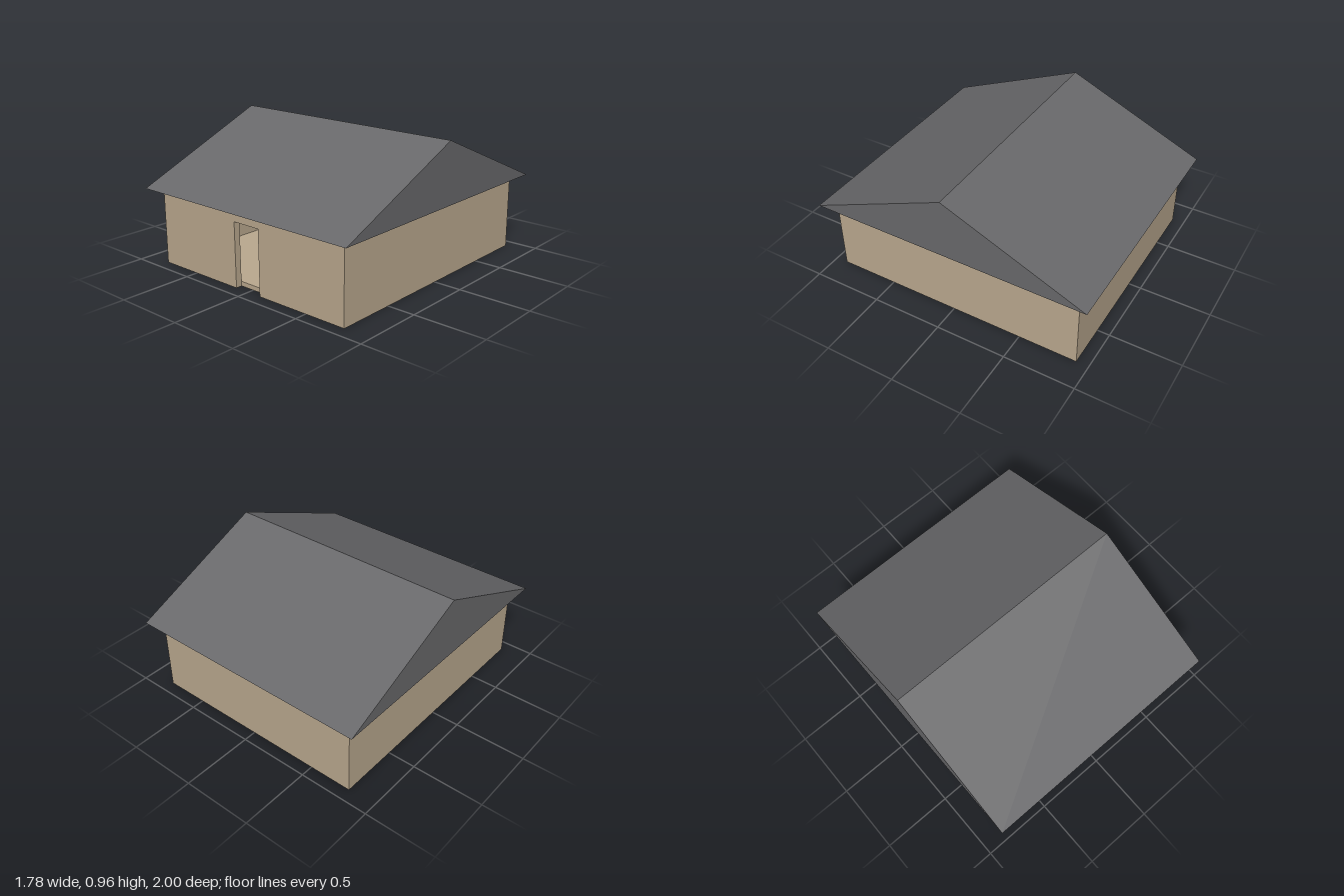
import * as THREE from 'three';

// Main dimensions
const W = 0.805, D = 0.914;          // half width and half depth of the walls
const H = 0.538, T = 0.045;          // wall height and thickness
const DOOR_W = 0.1075, DOOR_H = 0.45; // half width and height of the doorway
const FLOOR = 0.032;
const RW = 0.89, RD = 1.0, RIDGE = 0.965; // roof half width, half depth, ridge height

export function createModel() {
  const model = new THREE.Group();
  model.name = 'house';

  const wallMat = new THREE.MeshStandardMaterial({ color: 0xbba98f });
  wallMat.name = 'tan wall';
  const roofMat = new THREE.MeshStandardMaterial({ color: 0x69696b, side: THREE.DoubleSide });
  roofMat.name = 'grey roof';

  const add = (name, geometry, material, x = 0, y = 0, z = 0) => {
    const mesh = new THREE.Mesh(geometry, material);
    mesh.name = name;
    mesh.position.set(x, y, z);
    model.add(mesh);
    return mesh;
  };

  // Front wall with a doorway cut down to the ground
  const front = new THREE.Shape([
    [-W, 0], [-DOOR_W, 0], [-DOOR_W, DOOR_H], [DOOR_W, DOOR_H],
    [DOOR_W, 0], [W, 0], [W, H], [-W, H],
  ].map(([x, y]) => new THREE.Vector2(x, y)));
  add('frontWall', new THREE.ExtrudeGeometry(front, { depth: T, bevelEnabled: false }),
    wallMat, 0, 0, D - T);

  // Back and side walls
  add('backWall', new THREE.BoxGeometry(2 * W, H, T), wallMat, 0, H / 2, -D + T / 2);
  for (const [name, s] of [['leftWall', 1], ['rightWall', -1]]) {
    add(name, new THREE.BoxGeometry(T, H, 2 * (D - T)), wallMat, s * (W - T / 2), H / 2, 0);
  }

  // Floor slab between the walls
  add('floor', new THREE.BoxGeometry(2 * (W - T), FLOOR, 2 * (D - T)), wallMat, 0, FLOOR / 2, 0);

  // Roof shell, open underneath: two slopes and two gable ends
  const panel = (name, corners) => {
    const points = [];
    for (let i = 1; i < corners.length - 1; i++) {
      points.push(...corners[0], ...corners[i], ...corners[i + 1]);
    }
    const geometry = new THREE.BufferGeometry();
    geometry.setAttribute('position', new THREE.Float32BufferAttribute(points, 3));
    geometry.computeVertexNormals();
    add(name, geometry, roofMat);
  };
  for (const s of [1, -1]) {
    panel(s > 0 ? 'frontRoofSlope' : 'backRoofSlope',
      [[-s * RW, H, s * RD], [s * RW, H, s * RD], [s * RW, RIDGE, 0], [-s * RW, RIDGE, 0]]);
    panel(s > 0 ? 'leftGable' : 'rightGable',
      [[s * RW, H, s * RD], [s * RW, H, -s * RD], [s * RW, RIDGE, 0]]);
  }

  return model;
}
